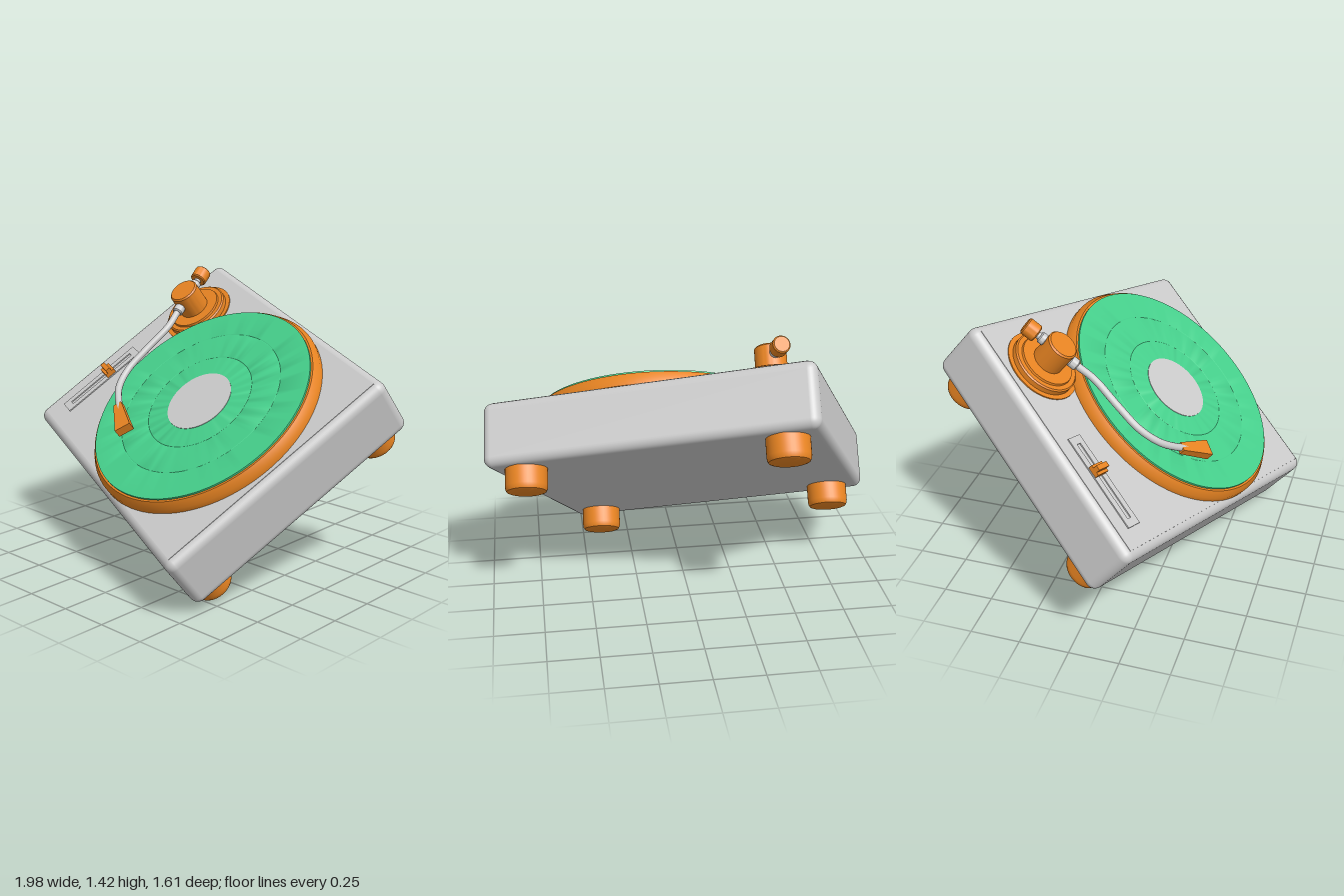
import * as THREE from 'three';
import { RoundedBoxGeometry } from 'three/addons/geometries/RoundedBoxGeometry.js';
import { toCreasedNormals } from 'three/addons/utils/BufferGeometryUtils.js';

const grey = new THREE.MeshStandardMaterial({ color: 0xcccccc });
const orange = new THREE.MeshStandardMaterial({ color: 0xe88422 });
const green = new THREE.MeshStandardMaterial({ color: 0x46d08c });

function add(parent, name, geometry, material, x = 0, y = 0, z = 0) {
  const mesh = new THREE.Mesh(geometry, material);
  mesh.name = name;
  mesh.position.set(x, y, z);
  parent.add(mesh);
  return mesh;
}

// Turned part from [radius, height] pairs, listed bottom to top
function turned(points, segments = 64) {
  const profile = points.map(([r, y]) => new THREE.Vector2(r, y));
  return toCreasedNormals(new THREE.LatheGeometry(profile, segments), 0.6);
}

function rectangle(Type, w, h) {
  const p = new Type();
  p.moveTo(-w / 2, -h / 2);
  p.lineTo(w / 2, -h / 2);
  p.lineTo(w / 2, h / 2);
  p.lineTo(-w / 2, h / 2);
  p.closePath();
  return p;
}

export function createModel() {
  const deck = new THREE.Group();
  deck.name = 'turntable';

  // Plinth; its top face is the local y = 0 plane
  add(deck, 'plinth', new RoundedBoxGeometry(1.63, 0.32, 1.3, 5, 0.045), grey, 0, -0.16, 0);
  add(deck, 'topPanel', new THREE.BoxGeometry(1.55, 0.004, 1.22), grey, 0, 0, 0);

  // Four feet with rounded lower rims
  const foot = turned([[0, -0.435], [0.085, -0.435], [0.095, -0.431], [0.101, -0.42], [0.103, -0.405], [0.103, -0.31], [0, -0.31]], 40);
  for (const x of [-0.64, 0.64]) for (const z of [-0.515, 0.525]) add(deck, 'foot', foot, orange, x, 0, z);

  // Platter, record with shallow groove bands, and centre label
  const platter = new THREE.Group();
  platter.name = 'platter';
  platter.position.set(0.132, 0, 0.005);
  deck.add(platter);
  add(platter, 'platterDisc', turned([[0, 0], [0.622, 0], [0.622, 0.03], [0.6, 0.064], [0, 0.064]], 96), orange);
  add(platter, 'record', turned([
    [0, 0.064], [0.59, 0.064], [0.59, 0.074], [0.44, 0.074], [0.437, 0.072], [0.434, 0.074],
    [0.288, 0.074], [0.285, 0.072], [0.282, 0.074], [0, 0.074],
  ], 96), green);
  add(platter, 'label', new THREE.CylinderGeometry(0.175, 0.175, 0.006, 64), grey, 0, 0.0735, 0);

  // Stepped arm base and pivot post
  const arm = new THREE.Group();
  arm.name = 'toneArm';
  deck.add(arm);
  const px = -0.555, pz = -0.353, armY = 0.13;
  add(arm, 'armBase', turned([
    [0, 0], [0.19, 0], [0.19, 0.008], [0.167, 0.008], [0.167, 0.034], [0.16, 0.04], [0.138, 0.04],
    [0.135, 0.05], [0, 0.05],
  ]), orange, px, 0, pz);
  add(arm, 'pivotPost', turned([[0, 0.03], [0.077, 0.03], [0.077, 0.172], [0.07, 0.18], [0, 0.18]], 48), orange, px, 0, pz);

  // Curved arm tube, running from behind the post to the head
  const axis = new THREE.Vector3(0.47, 0, 0.88).normalize();
  const along = (d) => new THREE.Vector3(px, armY, pz).addScaledVector(axis, d);
  const path = new THREE.CatmullRomCurve3([
    along(-0.13), along(0), along(0.12),
    new THREE.Vector3(-0.452, armY, -0.16), new THREE.Vector3(-0.42, armY, 0.01),
    new THREE.Vector3(-0.385, armY, 0.15), new THREE.Vector3(-0.31, armY, 0.25),
    new THREE.Vector3(-0.19, 0.124, 0.312), new THREE.Vector3(-0.15, 0.122, 0.327),
  ]);
  add(arm, 'armTube', new THREE.TubeGeometry(path, 80, 0.018, 14), grey);

  // Collars and counterweight share the axis of the straight part
  const onAxis = (name, r, length, d, material) => {
    const h = length / 2;
    const g = turned([[0, -h], [r - 0.006, -h], [r, 0.006 - h], [r, h - 0.006], [r - 0.006, h], [0, h]], 32);
    const mesh = add(arm, name, g, material);
    mesh.position.copy(along(d));
    mesh.quaternion.setFromUnitVectors(new THREE.Vector3(0, 1, 0), axis);
  };
  onAxis('frontCollar', 0.028, 0.045, 0.095, grey);
  onAxis('rearCollar', 0.028, 0.035, -0.088, grey);
  onAxis('counterweight', 0.043, 0.07, -0.155, orange);

  // Head that widens toward its tip
  const head = new THREE.BoxGeometry(0.19, 0.045, 0.07);
  const pos = head.attributes.position;
  for (let i = 0; i < pos.count; i++) {
    const tip = pos.getX(i) > 0;
    pos.setZ(i, pos.getZ(i) * (tip ? 1.2 : 0.65));
    if (!tip && pos.getY(i) < 0) pos.setY(i, -0.012);
  }
  head.computeVertexNormals();
  add(arm, 'headShell', head, orange, -0.11, 0.118, 0.342).rotation.y = -0.33;
  add(arm, 'stylus', new THREE.CylinderGeometry(0.01, 0.004, 0.03, 12), orange, -0.05, 0.087, 0.36);

  // Slider: slotted plate with a stepped knob
  const slider = new THREE.Group();
  slider.name = 'slider';
  slider.position.set(-0.662, 0, 0.272);
  deck.add(slider);
  const plate = rectangle(THREE.Shape, 0.085, 0.49);
  plate.holes.push(rectangle(THREE.Path, 0.024, 0.41));
  const plateGeometry = new THREE.ExtrudeGeometry(plate, { depth: 0.008, bevelEnabled: false });
  plateGeometry.rotateX(-Math.PI / 2);
  add(slider, 'sliderPlate', plateGeometry, grey);
  add(slider, 'knobBase', new THREE.BoxGeometry(0.075, 0.025, 0.055), orange, 0, 0.018, -0.055);
  add(slider, 'knobGrip', new THREE.BoxGeometry(0.075, 0.03, 0.026), orange, 0, 0.038, -0.055);

  // Tilt the whole deck
  const u = new THREE.Vector3(0.923, -0.211, 0.322).normalize();
  const n = new THREE.Vector3(-0.391, -0.594, 0.703).cross(u).normalize();
  const w = u.clone().cross(n);
  deck.quaternion.setFromRotationMatrix(new THREE.Matrix4().makeBasis(u, n, w));

  // Centre it and stand it on the ground
  const model = new THREE.Group();
  model.name = 'model';
  model.add(deck);
  model.updateMatrixWorld(true);
  const box = new THREE.Box3().setFromObject(model, true);
  const c = box.getCenter(new THREE.Vector3());
  deck.position.set(-c.x, -box.min.y, -c.z);
  return model;
}
